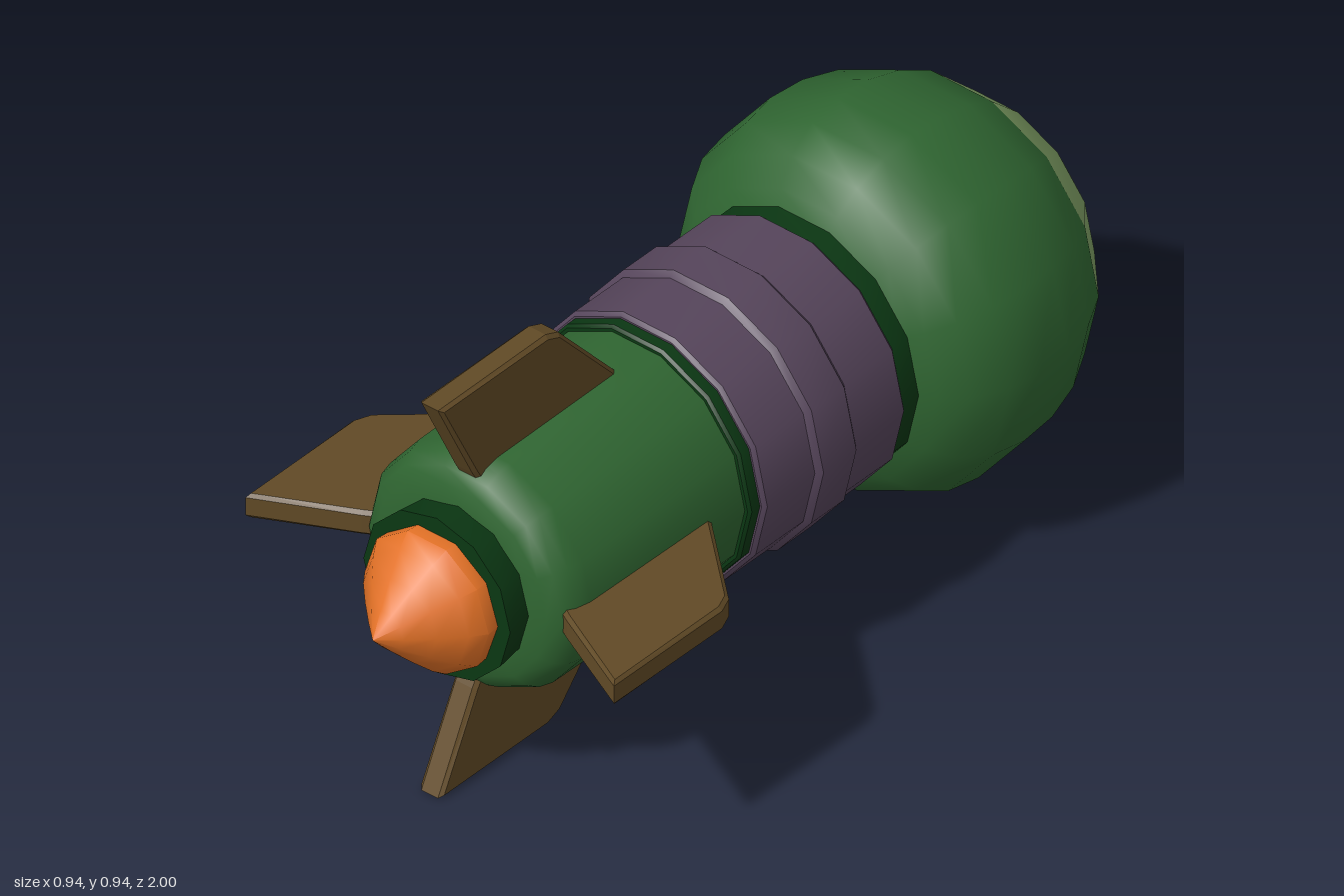
import * as THREE from 'three';
import { toCreasedNormals } from 'three/addons/utils/BufferGeometryUtils.js';

const AXIS_Y = 0.472;

const paint = (name, color) => {
  const m = new THREE.MeshStandardMaterial({ color });
  m.name = name;
  return m;
};

// Turned part along z; profile is [z, radius] from back to front
function turned(profile, sides) {
  const points = profile.map(([z, r]) => new THREE.Vector2(r, z));
  return new THREE.LatheGeometry(points, sides, Math.PI / 2).rotateX(Math.PI / 2);
}

// Closed ring with a small chamfer on both rims
const ringProfile = (z0, z1, r, c) => [
  [z0, 0], [z0, r - c], [z0 + c, r], [z1 - c, r], [z1, r - c], [z1, 0],
];

export function createModel() {
  const green = paint('body green', 0x2f6531);
  const darkGreen = paint('dark green', 0x0b3713);
  const lightGreen = paint('nose light green', 0x7b9a61);
  const purple = paint('band purple', 0x56455b);
  const orange = paint('flame orange', 0xe27126);
  const brown = paint('fin brown', 0x614a26);

  const model = new THREE.Group();
  const rocket = new THREE.Group();
  rocket.name = 'rocket';
  rocket.position.y = AXIS_Y;
  model.add(rocket);

  const add = (name, geometry, material) => {
    const mesh = new THREE.Mesh(geometry, material);
    mesh.name = name;
    rocket.add(mesh);
    return mesh;
  };
  const addTurned = (name, profile, sides, material) =>
    add(name, toCreasedNormals(turned(profile, sides), 0.75), material);

  // Bulbous warhead with a light tip, split by geometry groups
  const headProfile = [
    [-1, 0], [-0.975, 0.075], [-0.93, 0.165], [-0.865, 0.25], [-0.76, 0.35],
    [-0.68, 0.393], [-0.59, 0.418], [-0.5, 0.425], [-0.42, 0.412],
    [-0.35, 0.375], [-0.305, 0.325], [-0.28, 0.27],
  ];
  const tipRows = 4;
  const rows = headProfile.length - 1;
  const head = turned(headProfile, 14);
  for (let i = 0; i < 14; i++) {
    head.addGroup(i * rows * 6, tipRows * 6, 0);
    head.addGroup((i * rows + tipRows) * 6, (rows - tipRows) * 6, 1);
  }
  add('warhead', head, [lightGreen, green]);

  // Collars and bands
  addTurned('rearCollar', ringProfile(-0.3, -0.235, 0.292, 0.006), 14, darkGreen);
  addTurned('wideBand', ringProfile(-0.242, 0.182, 0.302, 0.008), 14, purple);
  addTurned('raisedRing', ringProfile(-0.09, 0.032, 0.314, 0.012), 14, purple);
  addTurned('frontCollar', ringProfile(0.175, 0.212, 0.29, 0.006), 14, darkGreen);

  // Body with a rounded end
  addTurned('body', [
    [0.2, 0.277], [0.66, 0.272], [0.695, 0.264], [0.722, 0.246], [0.738, 0.218], [0.745, 0.17], [0.745, 0],
  ], 14, green);

  // Exhaust nozzle and flame
  addTurned('nozzle', [[0.735, 0], [0.735, 0.178], [0.808, 0.187], [0.808, 0]], 12, darkGreen);
  addTurned('flame', [
    [0.8, 0.155], [0.838, 0.158], [0.87, 0.135], [0.915, 0.092], [0.96, 0.045], [1, 0],
  ], 10, orange);

  // Four swept fins, drawn as (z, radius) and bevelled
  const bevel = 0.008;
  const thickness = 0.058;
  const outline = new THREE.Shape([
    [0.31, 0.23], [0.31, 0.265], [0.475, 0.45], [0.51, 0.472 - bevel],
    [0.82, 0.472 - bevel], [0.72, 0.265], [0.7, 0.23],
  ].map(([z, r]) => new THREE.Vector2(z, r)));
  const finGeometry = new THREE.ExtrudeGeometry(outline, {
    depth: thickness - 2 * bevel, bevelEnabled: true, bevelSegments: 1,
    bevelSize: bevel, bevelThickness: bevel,
  });
  finGeometry.translate(0, 0, bevel - thickness / 2).rotateY(-Math.PI / 2);
  ['topFin', 'leftFin', 'bottomFin', 'rightFin'].forEach((name, i) => {
    add(name, finGeometry, brown).rotation.z = -i * Math.PI / 2;
  });

  return model;
}
